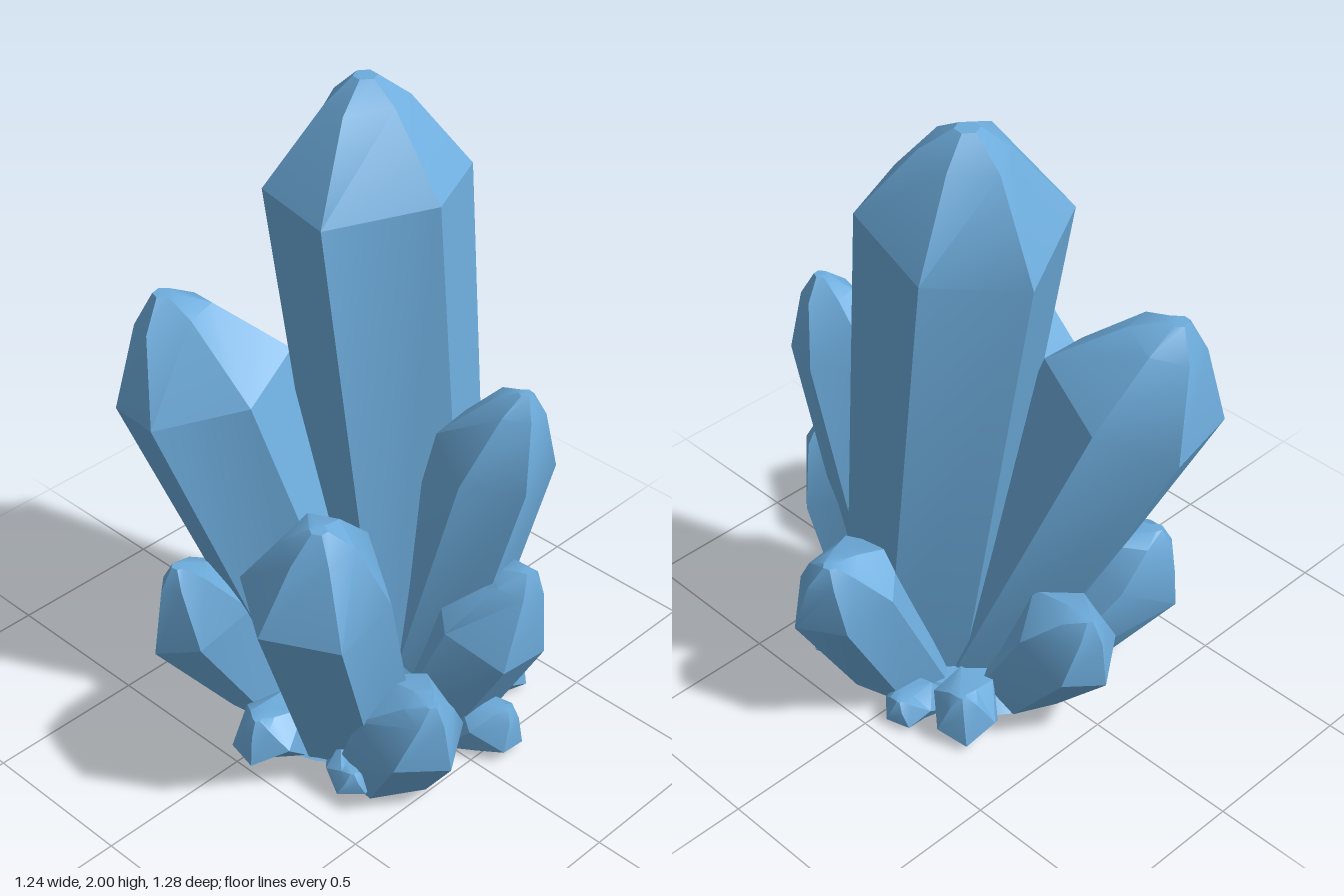
import * as THREE from 'three';
import { toCreasedNormals } from 'three/addons/utils/BufferGeometryUtils.js';

const SIDES = 6;

function makeRandom(seed) {
  let s = seed;
  return () => {
    s = (s * 16807) % 2147483647;
    return s / 2147483647 - 0.5;
  };
}

// Joins rings of points into a closed, crisp-edged solid
function loft(rings) {
  const pos = [];
  const tri = (...pts) => pts.forEach((p) => pos.push(p.x, p.y, p.z));
  const middle = (ring) =>
    ring.reduce((m, p) => m.add(p), new THREE.Vector3()).divideScalar(ring.length);
  const n = rings[0].length;
  const low = rings[0], high = rings[rings.length - 1];
  for (let i = 0; i < n; i++) {
    const j = (i + 1) % n;
    for (let k = 0; k < rings.length - 1; k++) {
      const a = rings[k], b = rings[k + 1];
      tri(a[i], b[i], a[j]);
      tri(a[j], b[i], b[j]);
    }
    tri(middle(low), low[i], low[j]);
    tri(middle(high), high[j], high[i]);
  }
  const geo = new THREE.BufferGeometry();
  geo.setAttribute('position', new THREE.Float32BufferAttribute(pos, 3));
  return toCreasedNormals(geo, 0.5);
}

// Leaning six-sided prism with a flat foot, an uneven shoulder and a blunt point
function crystalGeometry(seed, radius, [bx, bz], [sx, sy, sz], [tx, ty, tz]) {
  const rand = makeRandom(seed * 7919 + 13);
  const cap = ty - sy;
  const footR = Math.min(radius, 0.1 + radius * 0.43);
  const turn = THREE.MathUtils.degToRad(1 + seed * 7);
  const slope = new THREE.Vector2((sx - bx) / sy, (sz - bz) / sy).clampLength(0, 0.75);
  const mx = THREE.MathUtils.lerp(tx, sx, 0.22), mz = THREE.MathUtils.lerp(tz, sz, 0.22);
  const foot = [], shoulder = [], bevel = [], point = [];
  for (let i = 0; i < SIDES; i++) {
    const a = turn + (i / SIDES) * Math.PI * 2 + rand() * 0.16;
    const c = Math.cos(a), s = Math.sin(a);
    const tilt = -(c * slope.x + s * slope.y);
    const r = radius * (1 + rand() * 0.06);
    const shoulderY = sy + tilt * r + rand() * cap * 0.25;
    const bevelR = radius * (0.46 + rand() * 0.12);
    const bevelY = Math.min(ty - 0.005, ty - cap * 0.22 + tilt * bevelR * 0.8);
    const pointR = radius * 0.12;
    foot.push(new THREE.Vector3(bx + c * footR, 0, bz + s * footR));
    shoulder.push(new THREE.Vector3(sx + c * r, Math.max(0.02, shoulderY), sz + s * r));
    bevel.push(new THREE.Vector3(mx + c * bevelR, bevelY, mz + s * bevelR));
    point.push(new THREE.Vector3(tx + c * pointR, ty, tz + s * pointR));
  }
  return loft([foot, shoulder, bevel, point]);
}

// Low uneven slab that closes the gaps between the crystal feet
function baseGeometry() {
  const rand = makeRandom(4242);
  const low = [], high = [];
  for (let i = 0; i < 16; i++) {
    const a = (i / 16) * Math.PI * 2;
    const r = 0.34 + rand() * 0.06;
    const x = Math.cos(a) * r, z = Math.sin(a) * r;
    low.push(new THREE.Vector3(0.04 + x, 0, 0.01 + z));
    high.push(new THREE.Vector3(0.04 + x * 0.85, 0.05, 0.01 + z * 0.85));
  }
  return loft([low, high]);
}

export function createModel() {
  const group = new THREE.Group();
  group.name = 'crystalCluster';
  const blue = new THREE.MeshStandardMaterial({ color: 0x6dacdc });
  blue.name = 'crystal blue';

  const add = (name, geometry) => {
    const mesh = new THREE.Mesh(geometry, blue);
    mesh.name = name;
    group.add(mesh);
  };
  let seed = 0;

  // Large crystal: radius, foot [x, z], shoulder centre, tip
  const crystal = (name, radius, foot, shoulder, tip) =>
    add(name, crystalGeometry(++seed, radius, foot, shoulder, tip));

  // Small crystal: leans out from the middle of the cluster to its tip
  const shard = (name, radius, [x, y, z]) =>
    crystal(name, radius, [x * 0.72, z * 0.72], [x * 0.9, y * 0.55, z * 0.9], [x, y, z]);

  add('base', baseGeometry());

  crystal('mainCrystal', 0.295, [0.17, -0.12], [-0.09, 1.69, -0.155], [-0.13, 2, -0.18]);
  crystal('leaningCrystal', 0.262, [0.02, 0.03], [-0.38, 1.06, 0.23], [-0.49, 1.35, 0.28]);
  crystal('tallSideCrystal', 0.17, [0.16, -0.11], [0.425, 1.01, -0.145], [0.5, 1.25, -0.17]);
  crystal('frontCrystal', 0.22, [0.15, 0.14], [0.275, 0.78, 0.425], [0.32, 1.02, 0.46]);
  crystal('leftCrystal', 0.17, [0.24, -0.12], [0.45, 0.47, -0.12], [0.55, 0.67, -0.15]);
  crystal('backCrystal', 0.17, [0.1, -0.24], [0.1, 0.46, -0.465], [0.07, 0.62, -0.55]);
  crystal('frontRightCrystal', 0.175, [-0.13, 0.17], [-0.29, 0.33, 0.34], [-0.37, 0.48, 0.38]);
  crystal('rightCrystal', 0.15, [-0.2, -0.03], [-0.405, 0.32, -0.04], [-0.5, 0.47, -0.06]);
  crystal('frontLeftCrystal', 0.16, [0.33, 0.19], [0.45, 0.25, 0.22], [0.55, 0.4, 0.24]);

  shard('frontShard', 0.11, [0.03, 0.15, 0.44]);
  shard('frontLeftShard', 0.08, [0.35, 0.09, 0.36]);
  shard('leftShard', 0.1, [0.54, 0.17, -0.11]);
  shard('backLeftShard', 0.09, [0.36, 0.15, -0.36]);
  shard('backRightShard', 0.1, [-0.25, 0.17, -0.33]);
  shard('backShard', 0.08, [-0.07, 0.09, -0.42]);
  return group;
}
